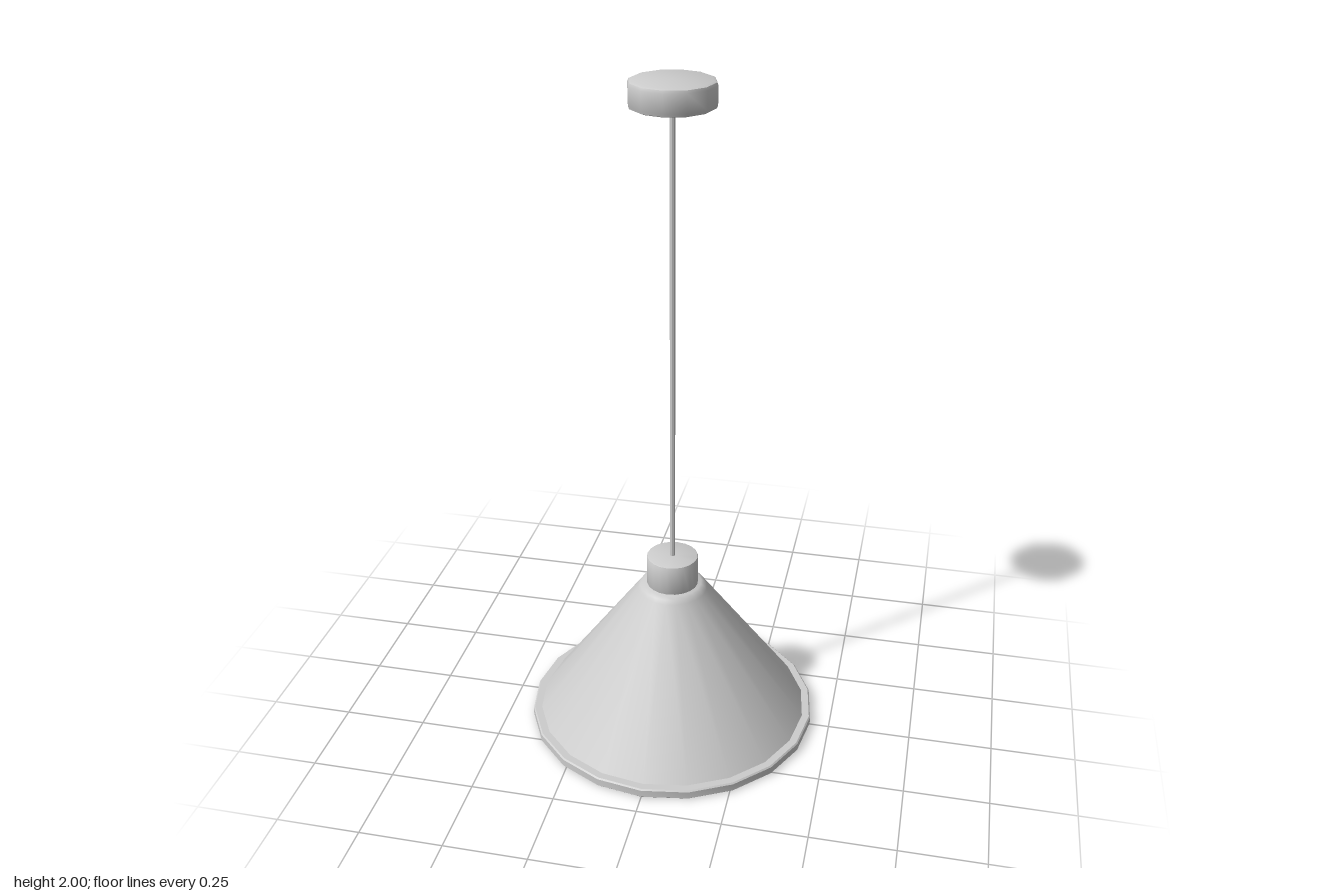
import * as THREE from 'three';
import { toCreasedNormals } from 'three/addons/utils/BufferGeometryUtils.js';

export function createModel() {
  const group = new THREE.Group();
  const grey = new THREE.MeshStandardMaterial({ color: 0xcccccc });
  grey.name = 'light grey';

  // Turned part from a [radius, height] profile, listed bottom to top
  const turn = (name, sides, profile) => {
    const points = profile.map(([r, y]) => new THREE.Vector2(r, y));
    const geometry = toCreasedNormals(new THREE.LatheGeometry(points, sides), 0.65);
    const mesh = new THREE.Mesh(geometry, grey);
    mesh.name = name;
    group.add(mesh);
  };

  // Disc-like part with softened top and bottom edges
  const softDisc = (name, sides, r, y0, y1, b) => turn(name, sides, [
    [0, y0], [r - b, y0], [r - 0.3 * b, y0 + 0.3 * b], [r, y0 + b],
    [r, y1 - b], [r - 0.3 * b, y1 - 0.3 * b], [r - b, y1], [0, y1],
  ]);

  // Closed flat rim at the foot of the shade
  turn('rim', 20, [[0, 0], [0.437, 0], [0.441, 0.004], [0.441, 0.026], [0.437, 0.03], [0.4, 0.03]]);

  // Conical shade with a rounded shoulder
  turn('shade', 20, [[0.415, 0.03], [0.106, 0.456], [0.099, 0.467], [0.088, 0.474], [0, 0.475]]);

  // Lamp holder, cord and ceiling canopy
  softDisc('lampHolder', 20, 0.078, 0.46, 0.567, 0.005);
  turn('cord', 8, [[0.008, 0.56], [0.008, 1.94]]);
  softDisc('ceilingCanopy', 12, 0.12, 1.927, 2, 0.011);

  return group;
}
